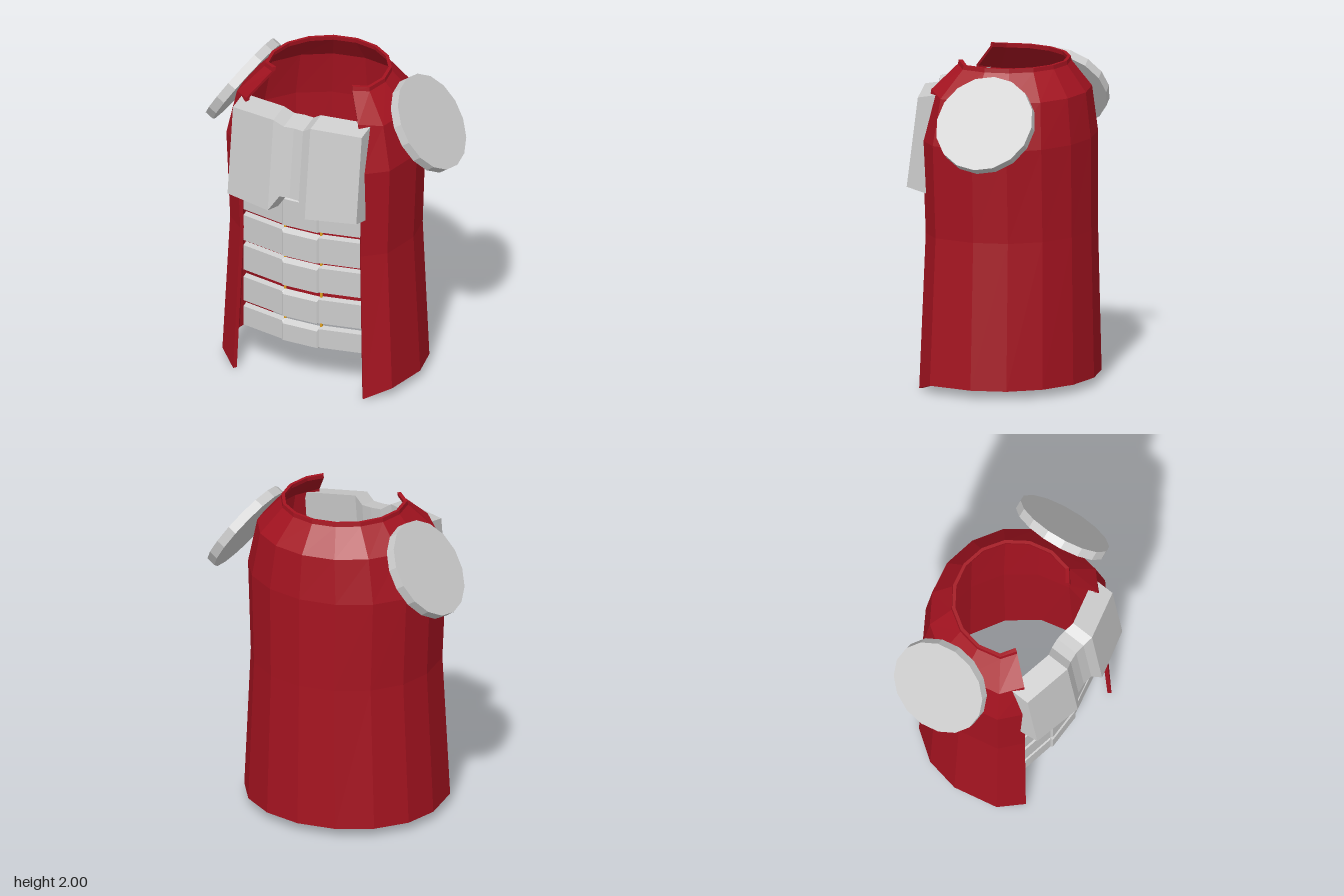
import * as THREE from 'three';

const grey = new THREE.MeshStandardMaterial({ color: 0xcccccc, flatShading: true });
const red = new THREE.MeshStandardMaterial({ color: 0xa51320, flatShading: true });
const gold = new THREE.MeshStandardMaterial({ color: 0xe0a020, flatShading: true });

// Solid skinned over a row of closed cross-sections, capped at both ends
function loft(name, loops, material) {
  const n = loops[0].length, pos = [];
  const quad = (a, b, c, d) => pos.push(...a, ...b, ...c, ...a, ...c, ...d);
  for (let i = 0; i < loops.length - 1; i++) {
    for (let j = 0; j < n; j++) {
      const k = (j + 1) % n;
      quad(loops[i][j], loops[i + 1][j], loops[i + 1][k], loops[i][k]);
    }
  }
  const s = loops[0], e = loops[loops.length - 1];
  for (let k = 0; k < n / 2 - 1; k++) {
    quad(s[k], s[k + 1], s[n - 2 - k], s[n - 1 - k]);
    quad(e[n - 1 - k], e[n - 2 - k], e[k + 1], e[k]);
  }
  const geo = new THREE.BufferGeometry();
  geo.setAttribute('position', new THREE.Float32BufferAttribute(pos, 3));
  geo.computeVertexNormals();
  const mesh = new THREE.Mesh(geo, material);
  mesh.name = name;
  return mesh;
}

// Robe shell, open at the front: level = [y, half width, back depth, front depth, front edge lift]
function robe() {
  const levels = [
    [0.05, 0.62, 0.558, 0.40, -0.05],
    [0.95, 0.575, 0.54, 0.37, 0],
    [1.52, 0.597, 0.537, 0.385, 0],
    [1.80, 0.535, 0.505, 0.345, 0.03],
    [1.96, 0.385, 0.385, 0.215, 0.015],
    [1.985, 0.382, 0.382, 0.21, 0.015],
  ];
  const loops = [];
  for (let i = 6; i >= -6; i--) {
    const t = i * Math.PI / 8, m = Math.abs(i);
    const point = ([y, rx, back, front, lift], inset) => {
      const z = m <= 4 ? -(back - inset) * Math.cos(t) : (front - inset) * (m === 5 ? 0.7 : 1);
      return [(rx - inset) * Math.sin(t), y + (m === 6 ? lift : 0), z];
    };
    loops.push([
      ...levels.map((l) => point(l, 0)),
      ...levels.map((l) => point(l, 0.02)).reverse(),
    ]);
  }
  return loft('robe', loops, red);
}

// Leaning chest plate with a notch at top and bottom: half station = [x, z, top y, bottom y]
function chestPlate() {
  const half = [
    [0.435, 0.41, 1.785, 1.23],
    [0.125, 0.482, 1.805, 1.225],
    [0.065, 0.462, 1.765, 1.318],
  ];
  const stations = [
    ...half.map(([x, ...r]) => [-x, ...r]),
    [0, 0.455, 1.765, 1.318],
    ...half.slice().reverse(),
  ];
  const lean = (top, bottom) => (top - bottom) * 0.13;
  const loops = stations.map(([x, z, top, bottom]) => {
    const zb = z + lean(top, bottom);
    return [[x, bottom, zb], [x, top, z], [x, top + 0.028, z - 0.14], [x, bottom - 0.035, zb - 0.14]];
  });
  return loft('chestPlate', loops, grey);
}

// One curved belly band with a slightly raised middle panel
function bellyBand(top, bottom) {
  const stations = [[-0.42, 0.3, 0], [-0.13, 0.358, 0], [-0.12, 0.37, 0.012], [0.11, 0.37, 0.012], [0.12, 0.358, 0], [0.41, 0.3, 0]];
  const loops = stations.map(([x, z, drop]) => [
    [x, bottom, z], [x, top - 0.01 - drop, z], [x, top, z - 0.035], [x, bottom - 0.015, z - 0.035],
  ]);
  return loft('bellyBand', loops, grey);
}

export function createModel() {
  const model = new THREE.Group();
  model.add(robe(), chestPlate());

  const bands = [[1.24, 1.04], [1.01, 0.83], [0.805, 0.63], [0.59, 0.42], [0.39, 0.255]];
  for (const [top, bottom] of bands) model.add(bellyBand(top, bottom));

  for (const side of [1, -1]) {
    // Thin strap holding the belly bands together
    const strap = new THREE.Mesh(new THREE.BoxGeometry(0.012, 0.95, 0.012), gold);
    strap.name = 'bandStrap';
    strap.position.set(side * 0.122, 0.735, 0.33);
    model.add(strap);

    // Tilted shoulder disc
    const disc = new THREE.Mesh(new THREE.CylinderGeometry(0.305, 0.305, 0.058, 16), grey);
    disc.name = side > 0 ? 'leftShoulderDisc' : 'rightShoulderDisc';
    disc.position.set(side * 0.625, 1.69, -0.1);
    disc.rotation.z = -side * 0.977;
    model.add(disc);
  }
  return model;
}
